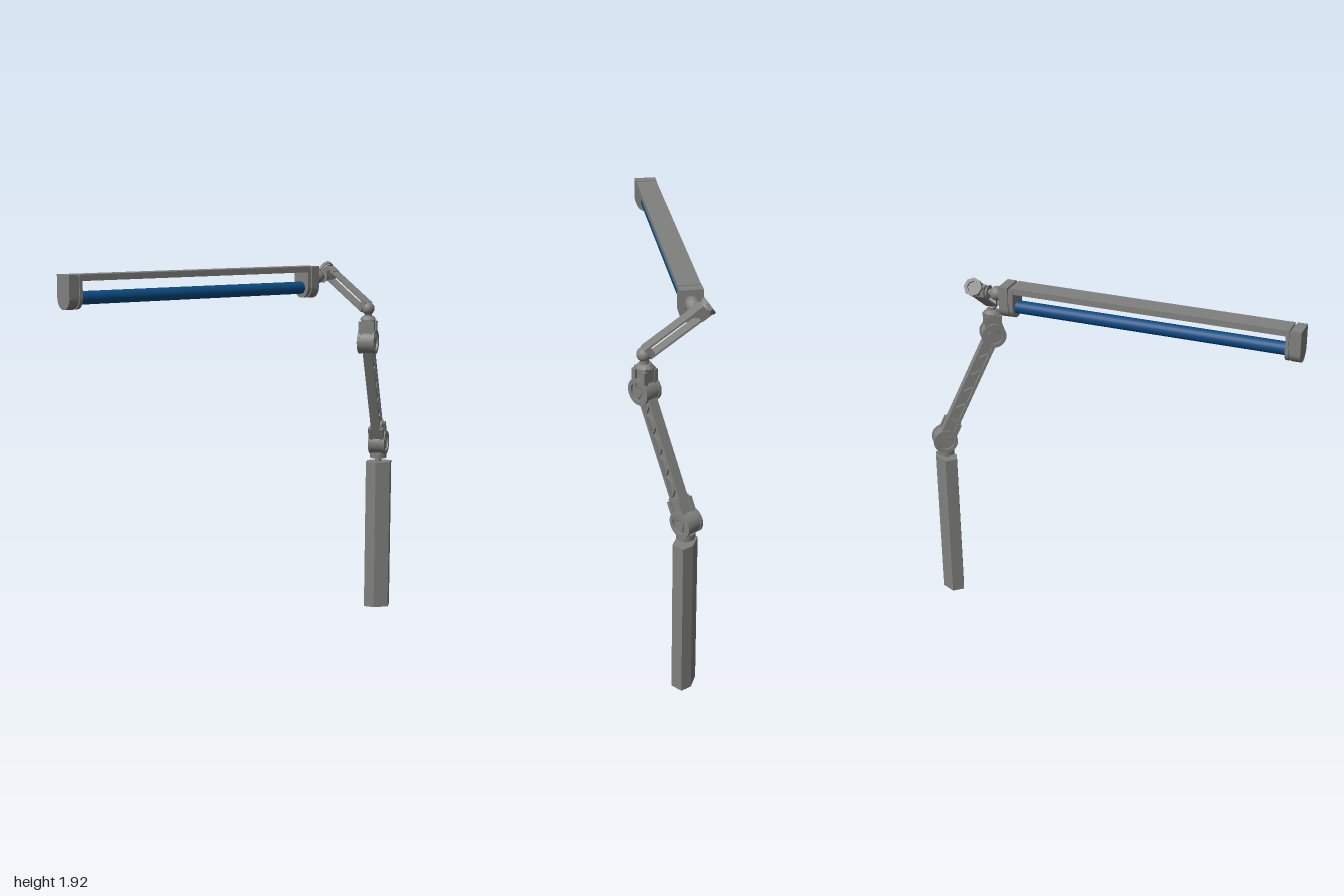
import * as THREE from 'three';

const grey = new THREE.MeshStandardMaterial({ color: 0x80807e });
grey.name = 'metal grey';
const blue = new THREE.MeshStandardMaterial({ color: 0x0a4a82 });
blue.name = 'lamp blue';

const V = (x, y, z) => new THREE.Vector3(x, y, z);

function add(parent, name, geo, pos = [0, 0, 0], rot = [0, 0, 0], mat = grey) {
  const m = new THREE.Mesh(geo, mat);
  m.name = name;
  m.position.set(...pos);
  m.rotation.set(...rot);
  parent.add(m);
  return m;
}
const box = (w, h, d) => new THREE.BoxGeometry(w, h, d);
const cyl = (rt, rb, h, n = 24) => new THREE.CylinderGeometry(rt, rb, h, n);
const ball = (r) => new THREE.SphereGeometry(r, 20, 14);

// Group whose y axis runs along "up" and whose z axis follows "side"
function frame(parent, name, origin, up, side) {
  const g = new THREE.Group();
  g.name = name;
  const y = up.clone().normalize();
  const x = y.clone().cross(side).normalize();
  const z = x.clone().cross(y);
  g.quaternion.setFromRotationMatrix(new THREE.Matrix4().makeBasis(x, y, z));
  g.position.copy(origin);
  parent.add(g);
  return g;
}

// Flat ring lying in the xy plane, centred on z
function ringGeo(outer, inner, depth, n = 24) {
  const s = new THREE.Shape().absarc(0, 0, outer, 0, Math.PI * 2);
  s.holes.push(new THREE.Path().absarc(0, 0, inner, 0, Math.PI * 2, true));
  return new THREE.ExtrudeGeometry(s, { depth, bevelEnabled: false, curveSegments: n })
    .translate(0, 0, -depth / 2);
}

// Hinge barrel along z with a rim and a three-sided knob on both ends
function hinge(g) {
  add(g, 'hingeBarrel', cyl(0.06, 0.06, 0.068), [0, 0, 0], [Math.PI / 2, 0, 0]);
  for (const s of [-1, 1]) {
    add(g, 'hingeRim', ringGeo(0.064, 0.045, 0.014), [0, 0, s * 0.038]);
    add(g, 'hingeKnob', cyl(0.038, 0.038, 0.008, 3), [0, 0, s * 0.037], [Math.PI / 2, 0, 0]);
  }
}

// Sleeve rising from a hinge, with raised corner ribs
function sleeve(g, height) {
  add(g, 'sleeveCore', box(0.074, height, 0.062), [0, height / 2, 0]);
  for (const x of [-1, 1]) for (const z of [-1, 1]) {
    add(g, 'sleeveRib', box(0.024, height - 0.035, 0.02), [x * 0.031, height / 2 + 0.005, z * 0.031]);
  }
}

function column(root) {
  const half = [[0.074, 0.022], [0.026, 0.063], [-0.048, 0.029]];
  const pts = [...half, ...half.map(([x, z]) => [-x, -z])];
  const shape = new THREE.Shape(pts.map(([x, z]) => new THREE.Vector2(x, -z)));
  const geo = new THREE.ExtrudeGeometry(shape, { depth: 0.82, bevelEnabled: false }).rotateX(-Math.PI / 2);
  add(root, 'column', geo, [0.924, 0, -0.028]);
  add(root, 'columnNeck', cyl(0.017, 0.017, 0.04), [0.922, 0.83, -0.03]);
  add(root, 'columnCollar', cyl(0.046, 0.046, 0.03, 8), [0.922, 0.855, -0.03]);
}

function lowerArm(root, base, elbow, side) {
  const dir = elbow.clone().sub(base);
  const len = dir.length();
  const g = frame(root, 'lowerArm', base, dir, side);
  hinge(g);
  sleeve(g, 0.125);
  add(g, 'armWeb', box(0.06, len - 0.06, 0.018), [0, len / 2, 0]);
  for (const s of [-1, 1]) {
    add(g, 'armFlange', box(0.014, len - 0.06, 0.05), [s * 0.029, len / 2, 0]);
  }
  // Zigzag bracing between the flanges
  const n = 9, start = 0.13, step = (len - 0.19) / n;
  for (let i = 0; i < n; i++) {
    const tilt = (i % 2 ? 1 : -1) * Math.atan2(0.05, step);
    add(g, 'armBrace', box(0.009, Math.hypot(0.05, step), 0.04), [0, start + step * (i + 0.5), 0], [0, 0, tilt]);
  }
}

function elbowBracket(root, elbow, side) {
  const g = frame(root, 'elbowBracket', elbow, V(0, 1, 0), side);
  hinge(g);
  sleeve(g, 0.12);
  add(g, 'elbowCap', cyl(0.03, 0.045, 0.018, 8), [0, 0.126, 0]);
  add(g, 'elbowNeck', cyl(0.02, 0.02, 0.05), [0, 0.145, 0]);
  add(g, 'elbowBall', ball(0.034), [-0.006, 0.175, 0]);
}

function upperArm(root, from, to) {
  const dir = to.clone().sub(from);
  const len = dir.length();
  const g = frame(root, 'upperArm', from, dir, V(0.992, 0, -0.123));
  // Two parallel plates
  for (const s of [-1, 1]) {
    add(g, 'armPlate', box(0.009, len, 0.058), [s * 0.024, len / 2, 0]);
  }
  add(g, 'lowerClamp', box(0.056, 0.03, 0.058), [0, 0.008, 0]);
  add(g, 'lowerClampCollar', cyl(0.036, 0.03, 0.016), [0, -0.012, 0]);
  // End head with open rim
  add(g, 'headBlock', box(0.062, 0.05, 0.06), [0, len - 0.025, 0]);
  add(g, 'headDisc', cyl(0.042, 0.042, 0.014, 8), [0, len + 0.004, 0]);
  add(g, 'headRim', ringGeo(0.046, 0.028, 0.016, 4), [0, len + 0.016, 0], [Math.PI / 2, 0, 0]);
}

function lamp(root) {
  const g = new THREE.Group();
  g.name = 'lamp';
  g.position.set(0, 1.788, -0.115);
  root.add(g);
  const mid = -0.245, length = 1.38;
  add(g, 'topRail', box(length, 0.03, 0.108), [mid, 0.095, 0]);
  add(g, 'lightTube', cyl(0.032, 0.032, length), [mid, -0.002, 0], [0, 0, Math.PI / 2], blue);
  // End cap slab: square top, round bottom
  const slab = (r, top, depth) => {
    const s = new THREE.Shape();
    s.moveTo(r, top);
    s.lineTo(-r, top);
    s.lineTo(-r, 0);
    s.absarc(0, 0, r, Math.PI, Math.PI * 2, false);
    s.lineTo(r, top);
    return new THREE.ExtrudeGeometry(s, { depth, bevelEnabled: false, curveSegments: 16 })
      .translate(0, 0, -depth / 2).rotateY(Math.PI / 2);
  };
  for (const s of [-1, 1]) {
    const end = mid + s * 0.755;
    add(g, 'endCapOuter', slab(0.056, 0.11, 0.048), [end - s * 0.024, 0, 0]);
    add(g, 'endCapGroove', slab(0.049, 0.1, 0.012), [end - s * 0.053, 0, 0]);
    add(g, 'endCapInner', slab(0.055, 0.11, 0.016), [end - s * 0.066, 0, 0]);
  }
  // Ball joint to the arm head
  const sideways = [0, 0, Math.PI / 2];
  add(g, 'lampSocket', cyl(0.03, 0.03, 0.03), [0.522, 0.052, 0], sideways);
  add(g, 'lampBall', ball(0.036), [0.545, 0.052, 0]);
  add(g, 'lampNeck', cyl(0.016, 0.016, 0.06), [0.585, 0.052, 0], sideways);
  add(g, 'lampCollar', cyl(0.034, 0.024, 0.018), [0.594, 0.052, 0], sideways);
  add(g, 'lampMount', box(0.05, 0.05, 0.045), [0.625, 0.058, -0.012]);
}

export function createModel() {
  const root = new THREE.Group();
  root.name = 'armLamp';
  const base = V(0.925, 0.925, -0.032);
  const elbow = V(0.695, 1.505, 0.127);
  const side = V(0.57, 0, 0.82).normalize();
  column(root);
  lowerArm(root, base, elbow, side);
  elbowBracket(root, elbow, side);
  upperArm(root, V(0.687, 1.69, 0.115), V(0.648, 1.868, -0.155));
  lamp(root);
  return root;
}
